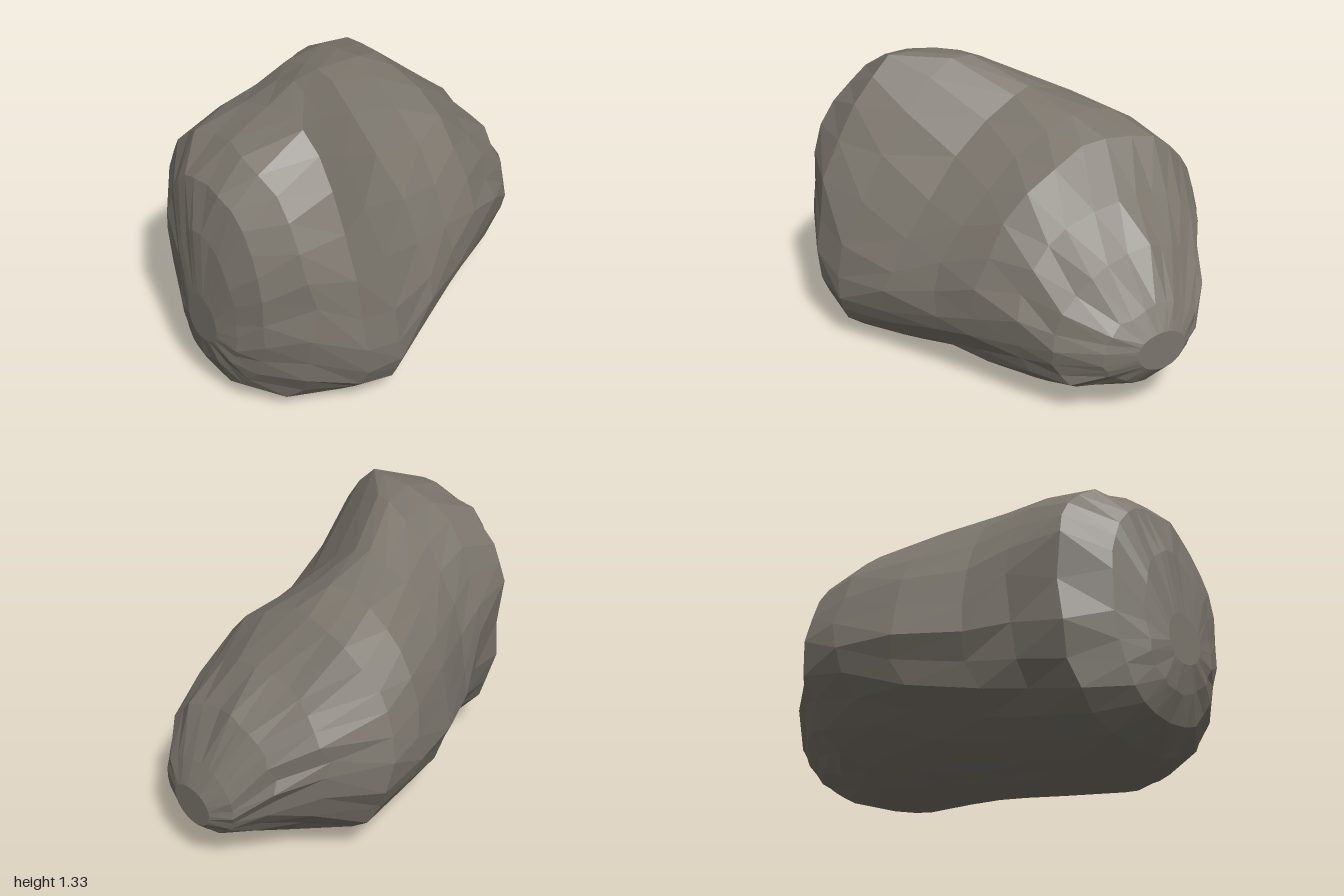
import * as THREE from 'three';

// Cross-sections from front to back:
// z, left x,y, right x,y, bottom x,y, top x,y, fullness of upper right and upper left
const SECTIONS = [
  [1.0, 0.11, 0.47, 0.32, 0.47, 0.2, 0.36, 0.2, 0.6, 2, 2],
  [0.97, 0.0, 0.55, 0.43, 0.52, 0.2, 0.23, 0.18, 0.91, 2, 2.2],
  [0.91, -0.14, 0.72, 0.55, 0.6, 0.2, 0.11, 0.18, 1.13, 2, 2.2],
  [0.76, -0.32, 0.86, 0.7, 0.62, 0.25, 0.03, 0.22, 1.265, 1.9, 2.1],
  [0.53, -0.4, 0.75, 0.78, 0.42, 0.25, 0.01, 0.27, 1.355, 1.7, 2.1],
  [0.33, -0.5, 0.57, 0.785, 0.3, 0.2, 0.02, 0.1, 1.335, 1.4, 2],
  [0.05, -0.66, 0.54, 0.67, 0.38, 0.05, 0.02, -0.13, 1.23, 1.35, 1.95],
  [-0.2, -0.765, 0.6, 0.55, 0.4, -0.05, 0.04, -0.23, 1.18, 1.55, 2.1],
  [-0.4, -0.785, 0.62, 0.47, 0.4, -0.1, 0.04, -0.25, 1.11, 1.8, 2.1],
  [-0.62, -0.62, 0.6, 0.37, 0.4, -0.12, 0.05, -0.22, 0.91, 2, 2],
  [-0.8, -0.49, 0.5, 0.28, 0.36, -0.13, 0.11, -0.2, 0.75, 2, 2],
  [-0.94, -0.37, 0.38, 0.12, 0.34, -0.14, 0.18, -0.18, 0.54, 2, 2],
  [-1.0, -0.27, 0.35, -0.02, 0.35, -0.15, 0.25, -0.15, 0.43, 2, 2],
];
// Fullness of the lower flanks of each section, low where they are undercut
const LOWER_LEFT = [2, 2.2, 2.5, 2.8, 2.4, 2, 1.8, 1.9, 2.2, 1.8, 1.6, 1.8, 2];
const LOWER_RIGHT = [2, 2.1, 2.2, 2.4, 2.7, 2.8, 2.7, 2.6, 2.6, 2.6, 2.5, 2.3, 2];
const SIDES = 28;

function seeded(seed) {
  return () => {
    seed = (seed * 16807) % 2147483647;
    return seed / 2147483647 - 0.5;
  };
}

// Point on a section: four superellipse quarters joined at the extreme points
function sectionPoint(i, angle) {
  const [, xL, yL, xR, yR, xB, yB, xT, yT, nTR, nTL] = SECTIONS[i];
  const sn = Math.sin(angle), cs = Math.cos(angle);
  const right = sn >= 0, upper = cs >= 0;
  const n = upper ? (right ? nTR : nTL) : (right ? LOWER_RIGHT : LOWER_LEFT)[i];
  const u = Math.abs(sn) ** (2 / n), v = Math.abs(cs) ** (2 / n);
  const midX = upper ? xT : xB, midY = right ? yR : yL;
  return [midX + ((right ? xR : xL) - midX) * u, midY + ((upper ? yT : yB) - midY) * v];
}

function rockGeometry() {
  const rand = seeded(4217);
  const positions = [], index = [];
  const last = SECTIONS.length - 1;

  // Alternate rings are turned by half a step, with slight chipping
  SECTIONS.forEach(([z], i) => {
    const end = i === 0 || i === last;
    const chip = end ? 0 : 0.02;
    const slip = end ? 0 : i < 3 || i > last - 2 ? 0.015 : 0.05;
    for (let k = 0; k < SIDES; k++) {
      const [x, y] = sectionPoint(i, ((k + (i % 2) * 0.5) / SIDES) * Math.PI * 2);
      positions.push(x + rand() * chip, y + rand() * chip, z + rand() * slip);
    }
  });

  // Faceted skin
  for (let i = 0; i < last; i++) {
    for (let k = 0; k < SIDES; k++) {
      const next = (k + 1) % SIDES;
      const a = i * SIDES + k, b = i * SIDES + next;
      const c = a + SIDES, d = b + SIDES;
      if (i % 2 === 0) index.push(a, b, c, b, d, c);
      else index.push(a, d, c, a, b, d);
    }
  }

  // End caps
  const back = last * SIDES;
  for (let k = 1; k < SIDES - 1; k++) {
    index.push(0, k + 1, k, back, back + k, back + k + 1);
  }

  const geometry = new THREE.BufferGeometry();
  geometry.setAttribute('position', new THREE.Float32BufferAttribute(positions, 3));
  geometry.setIndex(index);

  // Stand on the ground, centred
  geometry.computeBoundingBox();
  const { min, max } = geometry.boundingBox;
  geometry.translate(-(min.x + max.x) / 2, -min.y, -(min.z + max.z) / 2);
  geometry.computeVertexNormals();
  return geometry;
}

export function createModel() {
  const stone = new THREE.MeshStandardMaterial({ color: 0x7b756c, flatShading: true });
  stone.name = 'warm grey stone';

  const rock = new THREE.Mesh(rockGeometry(), stone);
  rock.name = 'boulder';

  const group = new THREE.Group();
  group.name = 'rock';
  group.add(rock);
  return group;
}
